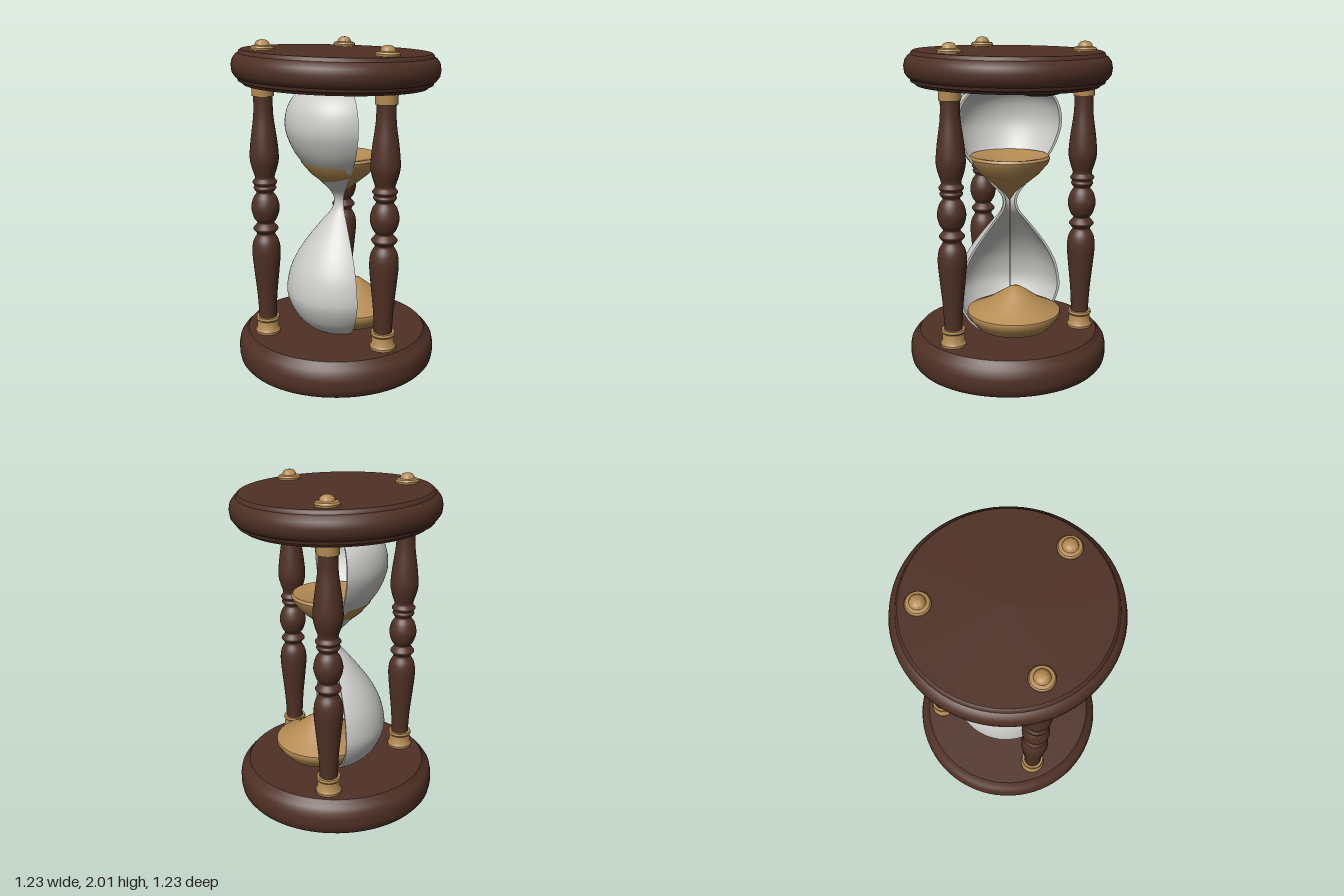
import * as THREE from 'three';
import { toCreasedNormals } from 'three/addons/utils/BufferGeometryUtils.js';

const wood = new THREE.MeshStandardMaterial({ color: 0x4f3025 });
const sand = new THREE.MeshStandardMaterial({ color: 0xb48b53 });
const glass = new THREE.MeshStandardMaterial({ color: 0xcbcbc9, side: THREE.DoubleSide });
wood.name = 'dark wood';
sand.name = 'sand and brass';
glass.name = 'pale glass';

const vecs = (pts) => pts.map(([x, y]) => new THREE.Vector2(x, y));
const smooth = (pts, n) => new THREE.SplineCurve(vecs(pts)).getPoints(n);

function addMesh(parent, name, geometry, material, x = 0, y = 0, z = 0) {
  const mesh = new THREE.Mesh(geometry, material);
  mesh.name = name;
  mesh.position.set(x, y, z);
  parent.add(mesh);
  return mesh;
}

const turned = (pts, segments = 32, crease = 0.6) =>
  toCreasedNormals(new THREE.LatheGeometry(vecs(pts), segments), crease);

export function createModel() {
  const model = new THREE.Group();
  model.name = 'hourglass';

  // Base with a rounded rim and stepped upper edge
  addMesh(model, 'base', turned([
    [0, 0], [0.56, 0], [0.59, 0.012], [0.608, 0.035], [0.615, 0.07], [0.615, 0.12],
    [0.608, 0.155], [0.592, 0.18], [0.575, 0.19], [0.57, 0.2], [0.565, 0.205],
    [0.555, 0.22], [0, 0.22],
  ], 72), wood);

  // Top plate with its finials, slightly tilted
  const top = new THREE.Group();
  top.name = 'top';
  top.position.y = 1.84;
  top.rotation.z = -0.026;
  model.add(top);
  addMesh(top, 'topPlate', turned([
    [0, -0.1], [0.545, -0.1], [0.555, -0.085], [0.575, -0.08], [0.58, -0.062],
    [0.592, -0.055], [0.61, -0.03], [0.615, 0.01], [0.608, 0.045], [0.59, 0.07],
    [0.575, 0.078], [0.57, 0.092], [0.56, 0.1], [0, 0.1],
  ], 72), wood);
  const bulge = addMesh(top, 'undersideBulge', new THREE.SphereGeometry(1, 32, 16), wood, 0.14, -0.1, -0.14);
  bulge.scale.set(0.16, 0.06, 0.18);

  // Three turned columns with collars and finials
  const columnShape = smooth([
    [0.056, 0.3], [0.055, 0.36], [0.062, 0.48], [0.076, 0.62], [0.086, 0.74], [0.078, 0.81],
    [0.055, 0.855], [0.06, 0.87], [0.076, 0.892], [0.06, 0.915], [0.05, 0.93], [0.07, 0.96],
    [0.085, 1.02], [0.072, 1.08], [0.05, 1.115], [0.06, 1.13], [0.068, 1.145], [0.062, 1.16],
    [0.074, 1.18], [0.06, 1.2], [0.06, 1.22], [0.076, 1.27], [0.086, 1.33], [0.078, 1.43],
    [0.06, 1.56], [0.056, 1.64], [0.057, 1.7],
  ], 120);
  const columnGeometry = new THREE.LatheGeometry(columnShape, 28);
  const lowerCollar = turned([[0.076, 0.215], [0.078, 0.235], [0.068, 0.25], [0.066, 0.3], [0.073, 0.31], [0.07, 0.325], [0.05, 0.325]]);
  const upperCollar = turned([[0.05, 1.68], [0.064, 1.68], [0.066, 1.735], [0.074, 1.745], [0.074, 1.77]]);
  const finial = turned([[0.066, 0.09], [0.07, 0.112], [0.063, 0.123], [0.044, 0.127], [0.04, 0.14],
    [0.031, 0.151], [0.017, 0.157], [0, 0.159]]);
  for (const [x, z] of [[-0.44, 0], [0.17, 0.42], [0.17, -0.42]]) {
    const column = new THREE.Group();
    column.name = 'column';
    column.position.set(x, 0, z);
    model.add(column);
    addMesh(column, 'columnShaft', columnGeometry, wood);
    addMesh(column, 'lowerCollar', lowerCollar, sand);
    addMesh(column, 'upperCollar', upperCollar, sand, 0, -x * 0.026, 0);
    addMesh(top, 'finial', finial, sand, x, 0, z);
  }

  // Half glass: outer wall, inner wall and cut rim, open toward +x
  const axis = 0.035;
  const outer = smooth([
    [0.19, 0.222], [0.23, 0.25], [0.285, 0.31], [0.33, 0.4], [0.342, 0.48], [0.318, 0.6],
    [0.265, 0.71], [0.195, 0.81], [0.115, 0.91], [0.065, 0.97], [0.045, 1.03], [0.062, 1.085],
    [0.12, 1.15], [0.215, 1.25], [0.285, 1.34], [0.33, 1.44], [0.342, 1.52], [0.325, 1.61],
    [0.28, 1.68], [0.215, 1.725], [0.13, 1.745],
  ], 80);
  const inner = outer.map((p) => new THREE.Vector2(p.x - 0.017, p.y));
  addMesh(model, 'glassOuter', new THREE.LatheGeometry(outer, 40, Math.PI, Math.PI), glass, axis);
  addMesh(model, 'glassInner', new THREE.LatheGeometry(inner, 40, Math.PI, Math.PI), glass, axis);
  for (const side of [1, -1]) {
    const outline = [...outer, ...inner.slice().reverse()].map((p) => new THREE.Vector2(p.x * side, p.y));
    const rim = new THREE.ShapeGeometry(new THREE.Shape(outline)).rotateY(Math.PI / 2);
    addMesh(model, 'glassRim', rim, glass, axis);
  }

  // Sand left in the upper bulb, with a shallow dip on top
  addMesh(model, 'upperSand', turned([
    [0, 1.04], [0.02, 1.07], [0.045, 1.1], [0.1, 1.145], [0.18, 1.21], [0.235, 1.275],
    [0.245, 1.305], [0.235, 1.32], [0.19, 1.313], [0.13, 1.296], [0.06, 1.28], [0, 1.275],
  ], 48, 0.9), sand, 0.025);

  // Sand heap in the lower bulb, its peak leaning a little
  const heap = turned([
    [0, 0.225], [0.16, 0.232], [0.225, 0.26], [0.265, 0.305], [0.289, 0.345], [0.286, 0.362],
    [0.24, 0.385], [0.16, 0.427], [0.08, 0.485], [0.035, 0.515], [0, 0.525],
  ], 48, 0.9);
  const p = heap.attributes.position;
  for (let i = 0; i < p.count; i++) {
    p.setX(i, p.getX(i) + 0.03 * Math.max(0, (p.getY(i) - 0.362) / 0.163));
  }
  addMesh(model, 'sandHeap', heap, sand, 0.094);

  // Thin falling stream
  addMesh(model, 'sandStream', new THREE.CylinderGeometry(0.003, 0.003, 0.62, 8), sand, axis, 0.78);

  return model;
}
